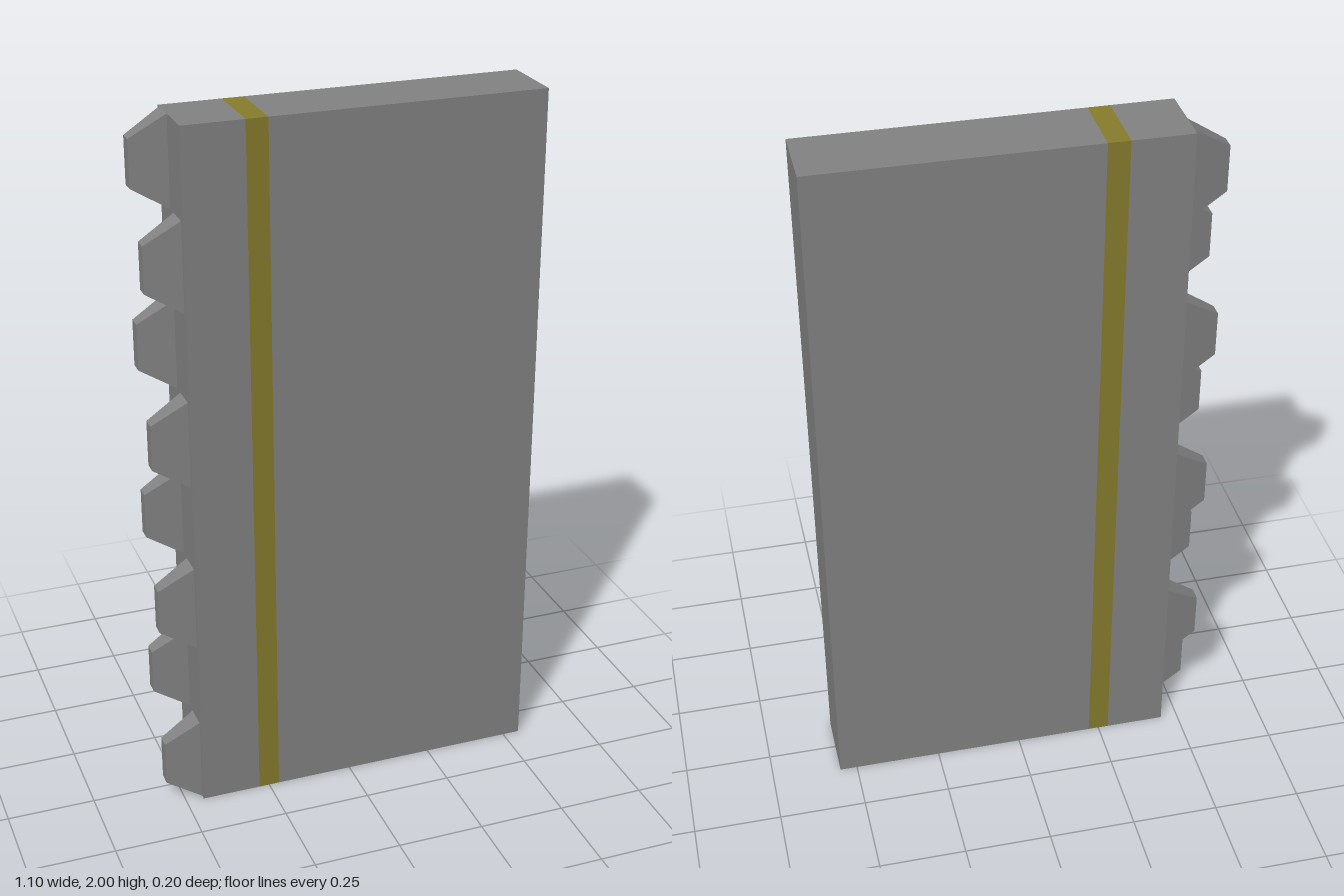
import * as THREE from 'three';

const HEIGHT = 2, DEPTH = 0.2, TEETH = 8;
const grey = new THREE.MeshStandardMaterial({ color: 0x828282 });
const yellow = new THREE.MeshStandardMaterial({ color: 0x867c2c });

// Full-height slab between two x positions
function slab(name, x0, x1, material) {
  const mesh = new THREE.Mesh(new THREE.BoxGeometry(x1 - x0, HEIGHT, DEPTH), material);
  mesh.name = name;
  mesh.position.set((x0 + x1) / 2, HEIGHT / 2, 0);
  return mesh;
}

// Block that tapers towards -x
function toothGeometry() {
  const g = new THREE.BoxGeometry(0.1, 0.25, 0.07);
  const p = g.attributes.position;
  for (let i = 0; i < p.count; i++) {
    if (p.getX(i) < 0) {
      p.setY(i, p.getY(i) * 0.52);
      p.setZ(i, p.getZ(i) * 0.56);
    }
  }
  g.computeVertexNormals();
  return g;
}

export function createModel() {
  const model = new THREE.Group();
  model.name = 'toothedPanel';

  // Panel with a flush coloured band running all the way through
  model.add(
    slab('edgePanel', -0.45, -0.28, grey),
    slab('stripe', -0.28, -0.22, yellow),
    slab('mainPanel', -0.22, 0.55, grey)
  );

  // Teeth on the edge, alternating between the front and back rows
  const teeth = new THREE.Group();
  teeth.name = 'teeth';
  const geometry = toothGeometry();
  const pitch = HEIGHT / TEETH;
  for (let i = 0; i < TEETH; i++) {
    const front = i % 2 === 0;
    const tooth = new THREE.Mesh(geometry, grey);
    tooth.name = front ? 'frontTooth' : 'backTooth';
    tooth.position.set(-0.5, (i + 0.5) * pitch, front ? 0.05 : -0.05);
    teeth.add(tooth);
  }
  model.add(teeth);
  return model;
}
